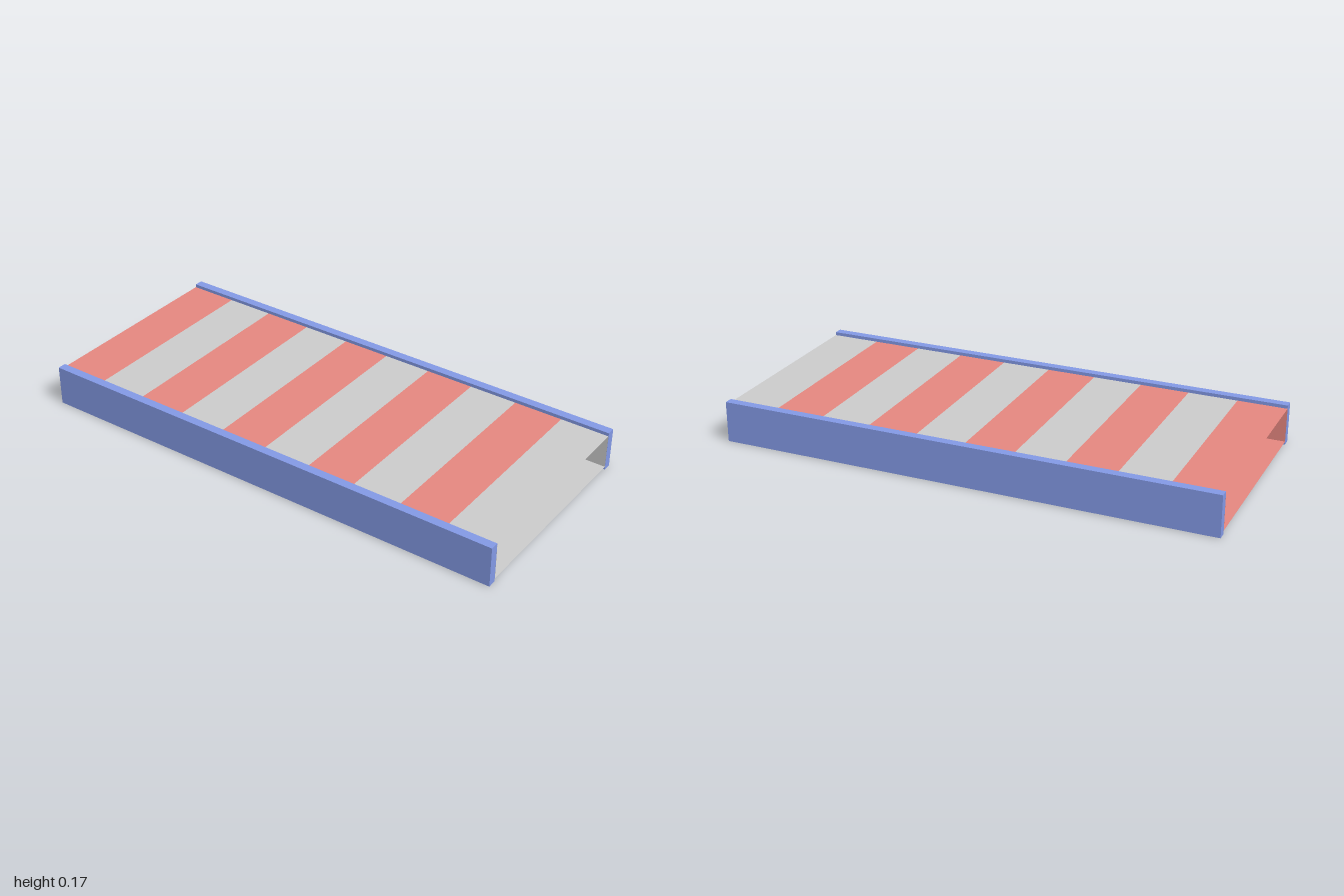
import * as THREE from 'three';

const LENGTH = 2, HEIGHT = 0.165, HALF_WIDTH = 0.445, RAIL = 0.035;
const SEGMENTS = 10, INSET = 0.013;

// Four-sided sleeve, open at both z ends: a box without its last two faces
function sleeve(width, height, depth) {
  const geometry = new THREE.BoxGeometry(width, height, depth);
  geometry.setIndex(Array.from(geometry.index.array).slice(0, 24));
  geometry.clearGroups();
  return geometry;
}

export function createModel() {
  const model = new THREE.Group();
  model.name = 'conveyor';
  const blue = new THREE.MeshStandardMaterial({ color: 0x8399e5 });
  const red = new THREE.MeshStandardMaterial({ color: 0xe58780, side: THREE.DoubleSide });
  const grey = new THREE.MeshStandardMaterial({ color: 0xcccccc, side: THREE.DoubleSide });

  // Side rails
  const railGeometry = new THREE.BoxGeometry(RAIL, HEIGHT, LENGTH);
  for (const side of [-1, 1]) {
    const rail = new THREE.Mesh(railGeometry, blue);
    rail.name = side > 0 ? 'leftRail' : 'rightRail';
    rail.position.set(side * (HALF_WIDTH - RAIL / 2), HEIGHT / 2, 0);
    model.add(rail);
  }

  // Hollow belt in alternating stripes, red at the back and grey at the front
  const belt = new THREE.Group();
  belt.name = 'belt';
  const step = LENGTH / SEGMENTS;
  const beltWidth = 2 * (HALF_WIDTH - RAIL) - 0.002;
  const stripeGeometry = sleeve(beltWidth, HEIGHT - 2 * INSET, step);
  for (let i = 0; i < SEGMENTS; i++) {
    const stripe = new THREE.Mesh(stripeGeometry, i % 2 ? grey : red);
    stripe.name = 'beltStripe' + (i + 1);
    stripe.position.set(0, HEIGHT / 2, -LENGTH / 2 + (i + 0.5) * step);
    belt.add(stripe);
  }
  model.add(belt);
  return model;
}
